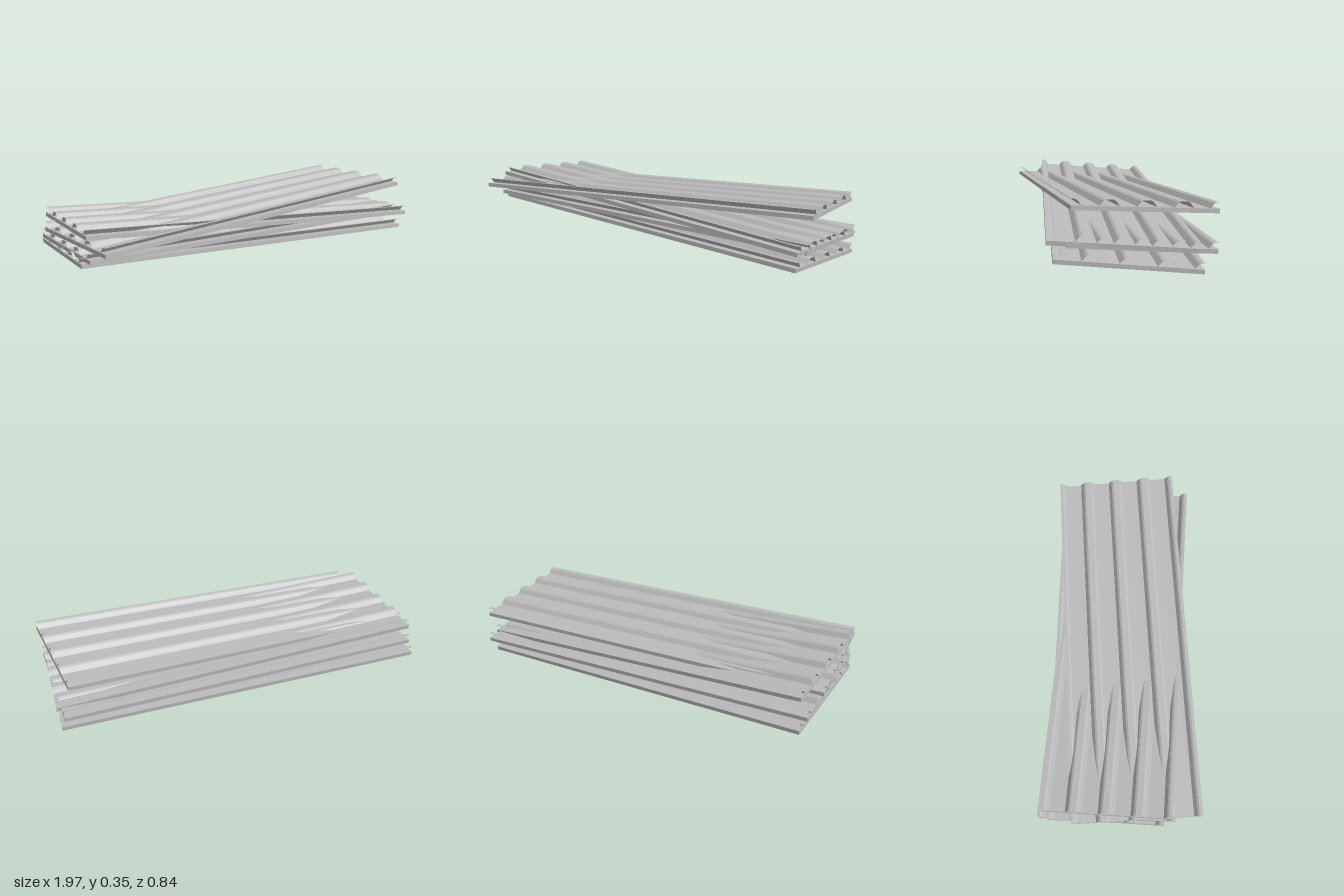
import * as THREE from 'three';

const LENGTH = 1.92, WIDTH = 0.65, SLAB = 0.02, RIB = 0.027, RIBS = 5;

// Cross-section of the ribbed sheet: [z, y], front to back, with half ribs at both edges
function ribProfile() {
  const half = [[0.043, 0], [0.026, RIB * 0.8], [0.016, RIB]];
  const points = [];
  for (let i = 0; i < RIBS; i++) {
    const z = WIDTH / 2 - (i * WIDTH) / (RIBS - 1);
    if (i === 0) points.push([z, RIB]);
    else for (const [dz, y] of half) points.push([z + dz, y]);
    if (i === RIBS - 1) points.push([z, RIB]);
    else for (const [dz, y] of [...half].reverse()) points.push([z - dz, y]);
  }
  return points;
}

// Sweep the profile straight along x, one separate quad for each facet
function sheetGeometry() {
  const profile = ribProfile(), positions = [], lift = SLAB + 0.001;
  for (let i = 0; i < profile.length - 1; i++) {
    const [z0, y0] = profile[i], [z1, y1] = profile[i + 1];
    const a = [-LENGTH / 2, y0 + lift, z0], b = [LENGTH / 2, y0 + lift, z0];
    const c = [LENGTH / 2, y1 + lift, z1], d = [-LENGTH / 2, y1 + lift, z1];
    positions.push(...a, ...b, ...c, ...a, ...c, ...d);
  }
  const geometry = new THREE.BufferGeometry();
  geometry.setAttribute('position', new THREE.Float32BufferAttribute(positions, 3));
  geometry.computeVertexNormals();
  return geometry;
}

export function createModel() {
  const model = new THREE.Group();
  model.name = 'roofPanelStack';

  const metal = new THREE.MeshStandardMaterial({ color: 0xbababa, side: THREE.DoubleSide });
  metal.name = 'light grey metal';

  const slab = new THREE.BoxGeometry(LENGTH, SLAB, WIDTH).translate(0, SLAB / 2, 0);
  const sheet = sheetGeometry();

  // Underside centre, then the rise/drift along the length and the rise across the width
  const panels = [
    { name: 'bottomPanel', at: [-0.008, 0.08, -0.028], alongY: -0.1, alongZ: 0.13, acrossY: 0.06 },
    { name: 'lowerMiddlePanel', at: [-0.003, 0.138, -0.03], alongY: -0.06, alongZ: 0.015, acrossY: 0.046 },
    { name: 'upperMiddlePanel', at: [0.007, 0.197, 0.002], alongY: -0.156, alongZ: 0.125, acrossY: 0.049 },
    { name: 'topPanel', at: [-0.007, 0.255, 0.028], alongY: 0.037, alongZ: -0.13, acrossY: 0.036 },
  ];

  for (const { name, at, alongY, alongZ, acrossY } of panels) {
    const panel = new THREE.Group();
    panel.name = name;
    const xAxis = new THREE.Vector3(1.915, alongY, alongZ).normalize();
    const across = new THREE.Vector3(-alongZ / 1.915, acrossY / WIDTH, 1);
    const yAxis = across.cross(xAxis).normalize();
    const zAxis = new THREE.Vector3().crossVectors(xAxis, yAxis);
    panel.quaternion.setFromRotationMatrix(new THREE.Matrix4().makeBasis(xAxis, yAxis, zAxis));
    panel.position.set(...at);

    const backing = new THREE.Mesh(slab, metal);
    backing.name = 'backingSlab';
    const cover = new THREE.Mesh(sheet, metal);
    cover.name = 'ribbedSheet';
    panel.add(backing, cover);
    model.add(panel);
  }
  return model;
}
